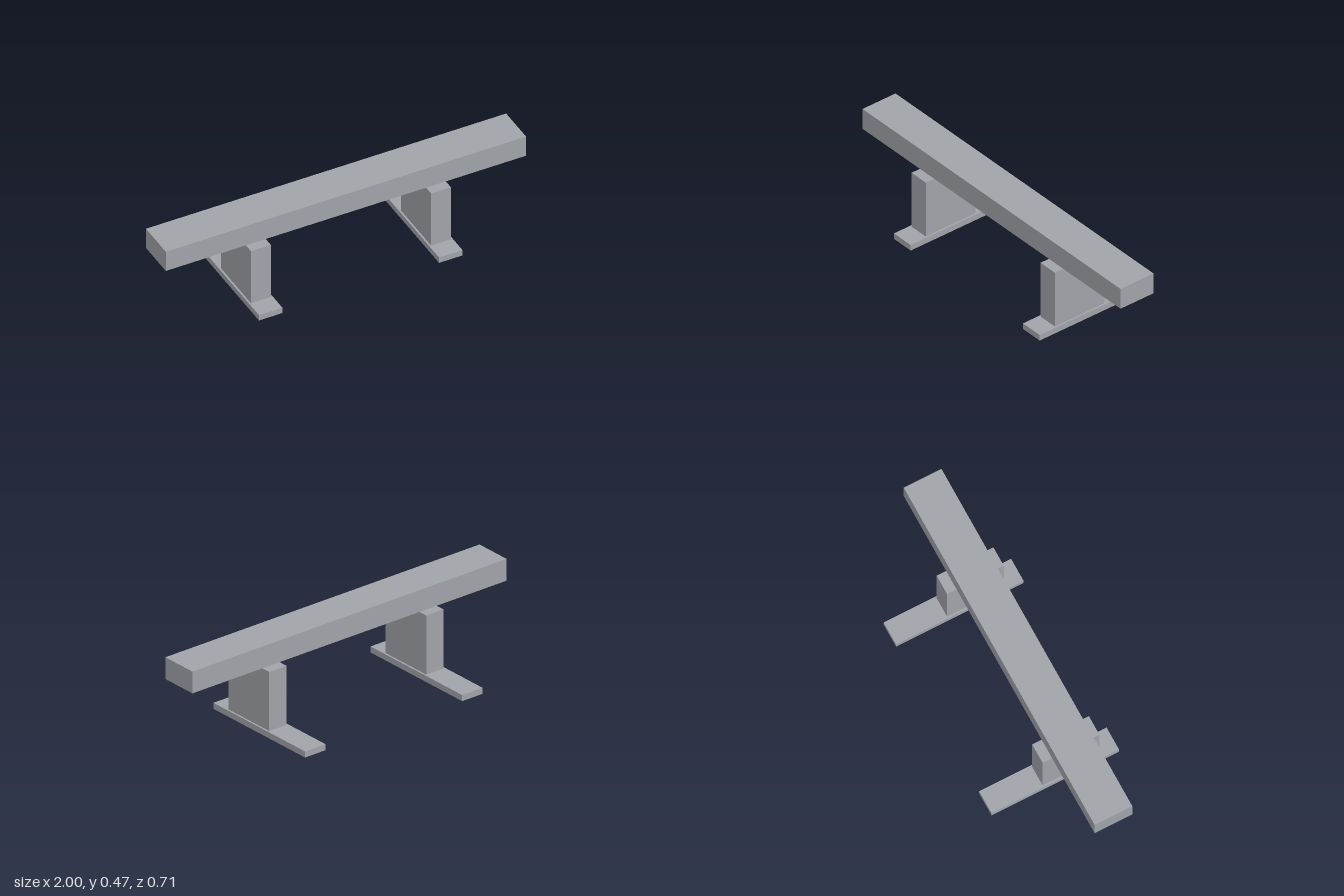
import * as THREE from 'three';

export function createModel() {
  const group = new THREE.Group();
  const grey = new THREE.MeshStandardMaterial({ color: 0xa0a3a8 });
  grey.name = 'grey';

  // Box given by its lower and upper bounds in y and z
  function block(name, x, width, y0, y1, z0, z1) {
    const mesh = new THREE.Mesh(new THREE.BoxGeometry(width, y1 - y0, z1 - z0), grey);
    mesh.name = name;
    mesh.position.set(x, (y0 + y1) / 2, (z0 + z1) / 2);
    group.add(mesh);
  }

  // Long beam on top
  block('beam', 0, 2, 0.356, 0.475, -0.012, 0.198);

  // Two supports, each a post on a flat foot
  for (const [side, x] of [['left', 0.5], ['right', -0.5]]) {
    block(side + 'Post', x, 0.11, 0.033, 0.356, -0.065, 0.251);
    block(side + 'Foot', x, 0.13, 0, 0.033, -0.355, 0.355);
  }
  return group;
}
